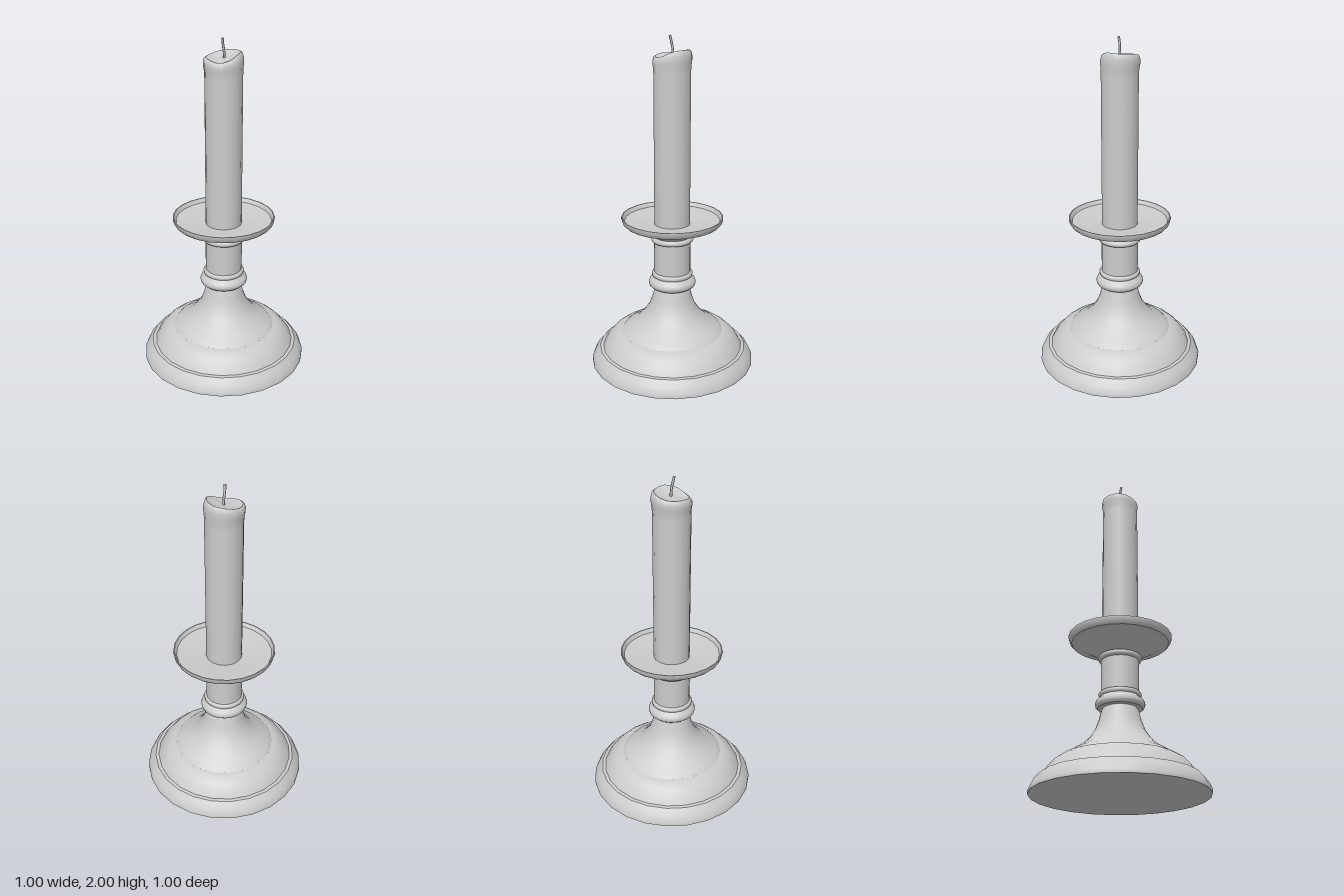
import * as THREE from 'three';

const SIDES = 24;

export function createModel() {
  const group = new THREE.Group();
  const grey = new THREE.MeshStandardMaterial({ color: 0xcccccc });
  grey.name = 'pale grey';

  const add = (name, geometry, parent = group) => {
    const mesh = new THREE.Mesh(geometry, grey);
    mesh.name = name;
    parent.add(mesh);
    return mesh;
  };
  const lathe = (profile, sides = SIDES) =>
    new THREE.LatheGeometry(profile.map(([r, y]) => new THREE.Vector2(r, y)), sides);

  // One group of turned bands; each band is smooth and meets the next at a sharp edge
  const turned = (name, bands) => {
    const part = new THREE.Group();
    part.name = name;
    group.add(part);
    bands.forEach((band, i) => add(`${name}Band${i + 1}`, lathe(band), part));
  };

  turned('foot', [
    [[0, 0], [0.5, 0]],
    [[0.5, 0], [0.5, 0.02], [0.482, 0.058], [0.45, 0.095]],
    [[0.45, 0.095], [0.43, 0.097]],
    [[0.43, 0.097], [0.408, 0.135], [0.375, 0.172], [0.34, 0.197], [0.31, 0.202]],
    [[0.31, 0.202], [0.285, 0.228], [0.22, 0.268], [0.175, 0.315], [0.142, 0.365],
      [0.122, 0.42], [0.108, 0.478], [0.1, 0.492]],
  ]);

  turned('stem', [
    [[0.09, 0.492], [0.128, 0.493]],
    [[0.128, 0.493], [0.14, 0.504], [0.144, 0.52], [0.138, 0.537], [0.122, 0.551], [0.115, 0.56]],
    [[0.115, 0.56], [0.122, 0.565], [0.124, 0.577], [0.119, 0.587], [0.11, 0.59]],
    [[0.11, 0.59], [0.11, 0.782]],
    [[0.11, 0.782], [0.123, 0.787], [0.129, 0.8], [0.123, 0.812], [0.11, 0.818]],
  ]);

  turned('dripPan', [
    [[0.11, 0.816], [0.25, 0.895]],
    [[0.25, 0.895], [0.285, 0.895]],
    [[0.285, 0.895], [0.297, 0.907], [0.305, 0.93], [0.304, 0.938]],
    [[0.304, 0.938], [0.298, 0.938]],
    [[0.298, 0.938], [0.285, 0.914]],
    [[0.285, 0.914], [0, 0.882]],
  ]);

  // Candle: rows above the shoulder follow an uneven melted rim
  const melt = (geometry) => {
    const p = geometry.attributes.position;
    for (let i = 0; i < p.count; i++) {
      const x = p.getX(i), y = p.getY(i), z = p.getZ(i);
      const r = Math.hypot(x, z);
      const a = Math.atan2(z, x);
      const t = Math.max(0, Math.min(1, (y - 1.8) / 0.1)) * Math.min(1, r / 0.09);
      const lift = 0.016 * Math.cos(a) - 0.012 * Math.sin(a)
        + 0.006 * Math.cos(2 * a) + 0.004 * Math.sin(3 * a);
      const bulge = 1 + 0.04 * t * Math.cos(a + 2.3);
      p.setXYZ(i, x * bulge, y + lift * t, z * bulge);
    }
    geometry.computeVertexNormals();
    return geometry;
  };
  add('candleBody', lathe([[0.108, 0.87], [0.108, 1.79]], 16));
  add('candleShoulder', melt(lathe(
    [[0.108, 1.79], [0.109, 1.82], [0.113, 1.85], [0.113, 1.875], [0.107, 1.895], [0.097, 1.902]], 16)));
  add('candleTop', melt(lathe([[0.097, 1.902], [0.08, 1.893], [0.04, 1.888], [0, 1.886]], 16)));

  // Wick with a closed tip
  const path = new THREE.CatmullRomCurve3([
    new THREE.Vector3(0.003, 1.88, -0.004),
    new THREE.Vector3(0.002, 1.92, -0.002),
    new THREE.Vector3(-0.004, 1.965, 0.004),
    new THREE.Vector3(-0.006, 1.998, 0.012),
  ]);
  add('wick', new THREE.TubeGeometry(path, 8, 0.007, 6));
  const tip = add('wickTip', new THREE.CircleGeometry(0.007, 6));
  tip.position.copy(path.getPoint(1));
  tip.quaternion.setFromUnitVectors(new THREE.Vector3(0, 0, 1), path.getTangent(1));

  return group;
}
